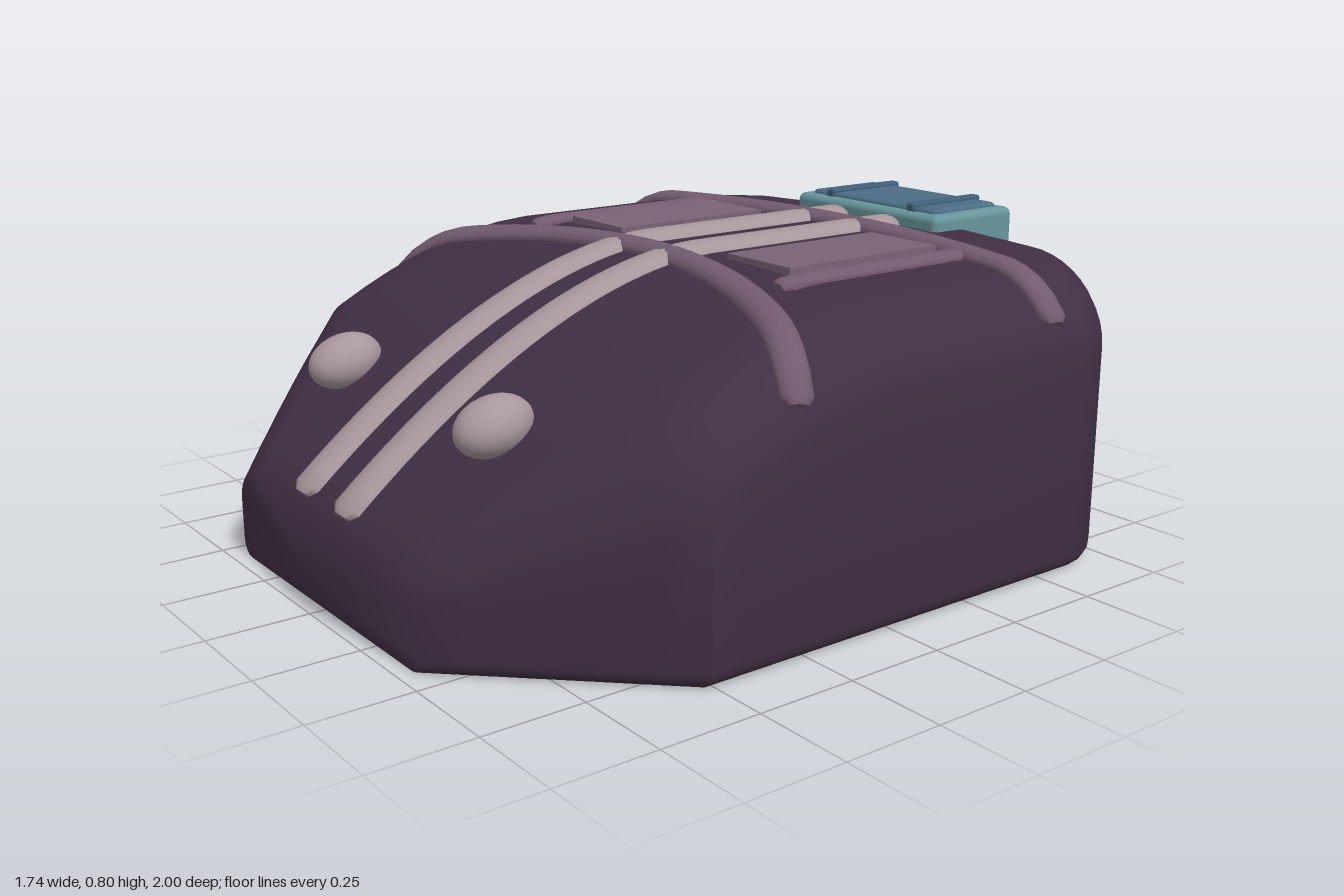
import * as THREE from 'three';
import { toCreasedNormals } from 'three/addons/utils/BufferGeometryUtils.js';
import { RoundedBoxGeometry } from 'three/addons/geometries/RoundedBoxGeometry.js';

const material = (name, color) => {
  const m = new THREE.MeshStandardMaterial({ color });
  m.name = name;
  return m;
};

// Shell outline: roof height and half width along z
function roof(z) {
  if (z < -0.8) return 0.74 - 0.04 * ((-0.8 - z) / 0.065) ** 2;
  return 0.74 - 0.49 * (Math.max(0, z + 0.05) / 1.01) ** 1.82;
}
function halfWidth(z) {
  if (z < -0.6) return 0.87 - 0.2 * ((-0.6 - z) / 0.265) ** 1.8;
  return z > 0.52 ? 0.87 - 0.42 * (z - 0.52) / 0.44 : 0.87;
}
const shoulder = z => Math.min(1, roof(z) / 0.55);

// Height of the shell's upper surface
function surface(x, z) {
  const s = shoulder(z), rx = 0.24 * s, ry = 0.2 * s;
  const flat = halfWidth(z) - rx, a = Math.abs(x);
  if (a < flat) return roof(z) - 0.015 * (a / flat) ** 2;
  return roof(z) - 0.015 - ry + ry * Math.sqrt(Math.max(0, 1 - ((a - flat) / rx) ** 2));
}
function surfaceNormal(x, z) {
  const e = 0.01;
  return new THREE.Vector3(
    surface(x - e, z) - surface(x + e, z), 2 * e, surface(x, z - e) - surface(x, z + e)
  ).normalize();
}

// Skin a list of closed rings; each end closes onto a centre point
function loft(rings, startPoint, endPoint, crease) {
  const n = rings[0].length, pos = [], idx = [];
  rings.forEach(r => r.forEach(p => pos.push(p.x, p.y, p.z)));
  pos.push(startPoint.x, startPoint.y, startPoint.z, endPoint.x, endPoint.y, endPoint.z);
  const first = rings.length * n, last = (rings.length - 1) * n;
  for (let i = 0; i < n; i++) {
    const k = (i + 1) % n;
    for (let j = 0; j < rings.length - 1; j++) {
      const a = j * n + i, b = j * n + k;
      idx.push(a, b, a + n, b, b + n, a + n);
    }
    idx.push(first, k, i, first + 1, last + i, last + k);
  }
  const g = new THREE.BufferGeometry();
  g.setAttribute('position', new THREE.Float32BufferAttribute(pos, 3));
  g.setIndex(idx);
  return toCreasedNormals(g, crease);
}

// One cross-section of the shell
function shellRing(z) {
  const w = halfWidth(z), s = shoulder(z), rx = 0.24 * s, ry = 0.2 * s;
  const half = [];
  for (let i = 0; i <= 4; i++) {
    const a = -Math.PI / 2 + i * Math.PI / 8;
    half.push([w - 0.04 + 0.04 * Math.cos(a), 0.04 + 0.04 * Math.sin(a)]);
  }
  for (let i = 0; i <= 10; i++) {
    const a = i * Math.PI / 20;
    half.push([w - rx + rx * Math.cos(a), roof(z) - 0.015 - ry + ry * Math.sin(a)]);
  }
  half.push([(w - rx) / 2, roof(z) - 0.004]);
  const left = half.map(([x, y]) => new THREE.Vector3(x, y, z));
  const right = half.map(([x, y]) => new THREE.Vector3(-x, y, z)).reverse();
  return [...left, new THREE.Vector3(0, roof(z), z), ...right];
}

// Flattened tube that follows the shell, with rounded ends
function strapGeometry(pathXZ, width, thick, lift = 0) {
  const steps = 40, sides = 12, rings = [];
  const at = t => {
    const [x, z] = pathXZ(t);
    return new THREE.Vector3(x, surface(x, z) + lift, z);
  };
  const ring = (t, scale, shift) => {
    const tan = at(Math.min(1, t + 0.01)).sub(at(Math.max(0, t - 0.01))).normalize();
    const [x, z] = pathXZ(t);
    const side = surfaceNormal(x, z).cross(tan).normalize();
    const up = tan.clone().cross(side);
    const c = at(t).addScaledVector(tan, shift);
    const points = [];
    for (let i = 0; i < sides; i++) {
      const a = i / sides * Math.PI * 2;
      points.push(c.clone().addScaledVector(side, Math.cos(a) * width * scale)
        .addScaledVector(up, Math.sin(a) * thick * scale));
    }
    return points;
  };
  rings.push(ring(0, 0.6, -0.02));
  for (let i = 0; i <= steps; i++) rings.push(ring(i / steps, 1, 0));
  rings.push(ring(1, 0.6, 0.02));
  const centre = r => r[0].clone().add(r[sides / 2]).multiplyScalar(0.5);
  return loft(rings, centre(rings[0]), centre(rings[rings.length - 1]), 1);
}

export function createModel() {
  const model = new THREE.Group();
  const plum = material('dark plum', 0x412f44);
  const mauve = material('mauve', 0x735b70);
  const padMauve = material('pad mauve', 0x7a6376);
  const pale = material('pale rose grey', 0xa8979c);
  const teal = material('teal', 0x67959a);
  const blue = material('slate blue', 0x4c6d86);
  const darkBlue = material('deep blue', 0x3f6079);

  const add = (name, geometry, mat, x = 0, y = 0, z = 0) => {
    const mesh = new THREE.Mesh(geometry, mat);
    mesh.name = name;
    mesh.position.set(x, y, z);
    model.add(mesh);
    return mesh;
  };

  // Shell
  const stations = [-0.865, -0.85, -0.83, -0.8, -0.75, -0.7, -0.65, -0.6, -0.3, -0.05];
  for (let z = 0.05; z < 0.5; z += 0.08) stations.push(z);
  for (let i = 0; i <= 6; i++) stations.push(0.52 + 0.44 * i / 6);
  add('shell', loft(stations.map(shellRing),
    new THREE.Vector3(0, 0.33, -0.9), new THREE.Vector3(0, 0.08, 0.995), 0.75), plum);

  // Cross bands
  add('frontBand', strapGeometry(t => {
    const x = (t * 2 - 1) * 0.83;
    return [x, 0.04 + 0.23 * Math.abs(x / 0.83) ** 1.9];
  }, 0.04, 0.026), mauve);
  add('rearBand', strapGeometry(t => {
    const x = (t * 2 - 1) * 0.83;
    return [x, -0.59 + 0.075 * (x / 0.83) ** 2];
  }, 0.04, 0.026), mauve);

  for (const s of [-1, 1]) {
    // Long centre straps and short side bars
    add('centreStrap', strapGeometry(t => [s * 0.1, -0.69 + 1.63 * t], 0.052, 0.024), pale);
    add('sideBar', strapGeometry(t => [s * 0.51, -0.53 + 0.56 * t], 0.035, 0.02), mauve);

    // Inset pads on the roof
    add('roofPad', new THREE.BoxGeometry(0.23, 0.03, 0.48), padMauve, s * 0.335, 0.735, -0.28);

    // Front knobs
    const knob = add('frontKnob', new THREE.SphereGeometry(1, 24, 16), pale, s * 0.35, 0.48, 0.71);
    knob.scale.set(0.074, 0.066, 0.095);
    knob.rotation.x = 0.25;

    // Lid straps on the rear box
    add('lidStrap', new RoundedBoxGeometry(0.032, 0.025, 0.26, 2, 0.008), darkBlue,
      s * 0.157, 0.786, -0.85);
  }

  // Rear box with panelled lid
  add('rearBox', new RoundedBoxGeometry(0.55, 0.15, 0.3, 3, 0.02), teal, 0, 0.702, -0.85);
  add('lidPanel', new RoundedBoxGeometry(0.48, 0.03, 0.24, 3, 0.012), blue, 0, 0.773, -0.85);

  return model;
}
